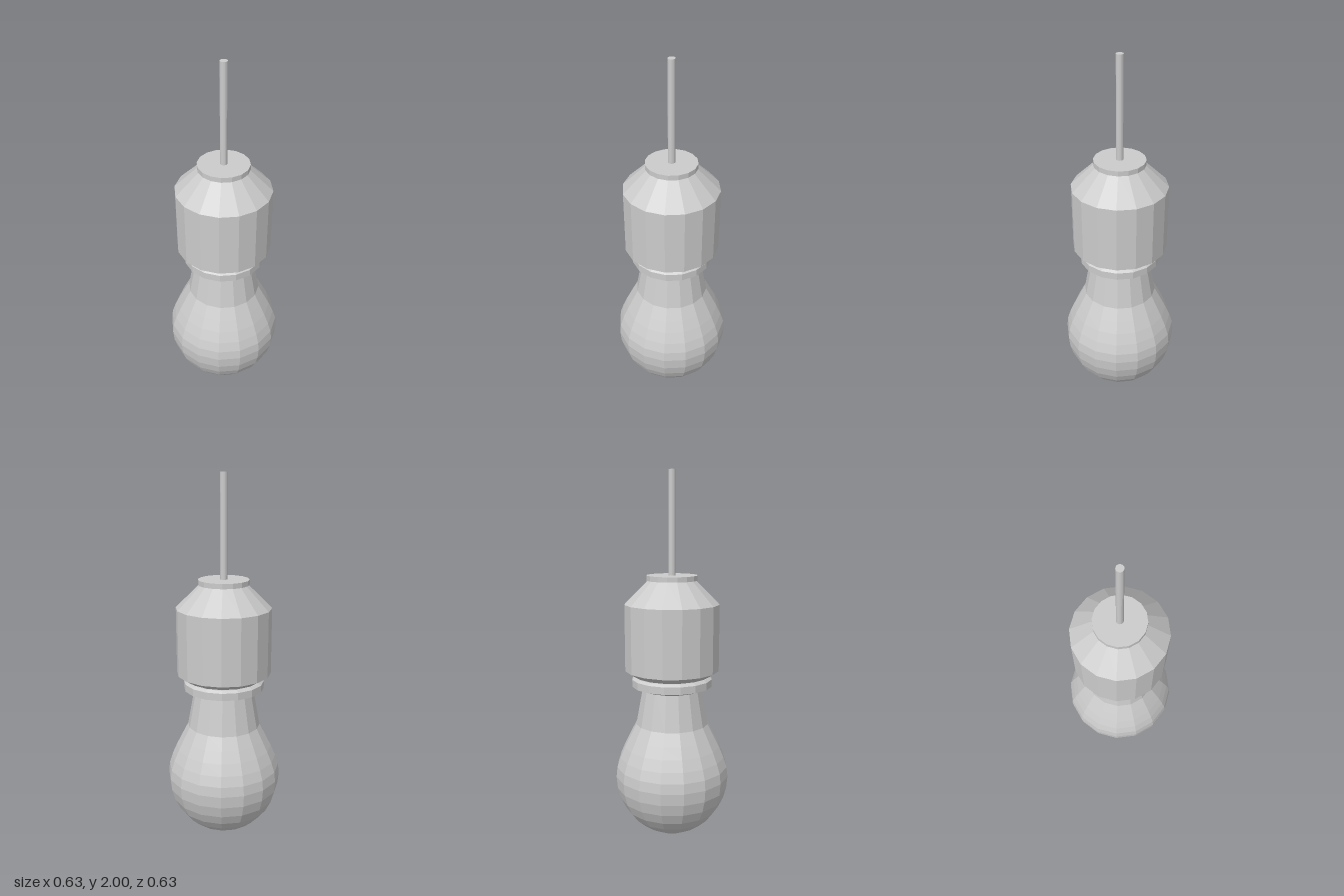
import * as THREE from 'three';

const SIDES = 16;
const material = new THREE.MeshStandardMaterial({ color: 0xcccccc, flatShading: true });

// Faceted solid of revolution; profile is [radius, y] from bottom to top
function turned(name, profile, sides = SIDES) {
  const points = profile.map(([r, y]) => new THREE.Vector2(r, y));
  const mesh = new THREE.Mesh(new THREE.LatheGeometry(points, sides), material);
  mesh.name = name;
  return mesh;
}

export function createModel() {
  const group = new THREE.Group();
  group.name = 'pendantBulb';

  // Glass bulb: elliptical lower half, shoulder and tapering neck
  const bulb = [];
  const steps = 8;
  for (let i = 0; i <= steps; i++) {
    const a = (i / steps) * Math.PI / 2;
    bulb.push([0.315 * Math.sin(a), 0.345 - 0.34 * Math.cos(a)]);
  }
  bulb[0][0] = 0;
  bulb[0][1] = 0;
  bulb.push([0.309, 0.4], [0.291, 0.455], [0.265, 0.515], [0.235, 0.575], [0.2, 0.643], [0.16, 0.86]);
  group.add(turned('glassBulb', bulb));

  // Collar ring that grips the neck
  group.add(turned('collarRing', [
    [0, 0.838], [0.165, 0.838], [0.22, 0.857], [0.22, 0.897], [0.205, 0.909], [0.18, 0.909], [0, 0.909],
  ]));

  // Socket body with bevelled bottom and conical shoulder
  group.add(turned('socketBody', [
    [0, 0.913], [0.205, 0.913], [0.257, 0.945], [0.257, 1.305], [0.13, 1.43], [0, 1.43],
  ]));

  // Flat cap on the socket
  group.add(turned('socketCap', [[0, 1.43], [0.137, 1.43], [0.137, 1.457], [0, 1.457]]));

  // Hanging cord
  group.add(turned('cord', [[0, 1.44], [0.019, 1.44], [0.019, 2], [0, 2]]));

  return group;
}
